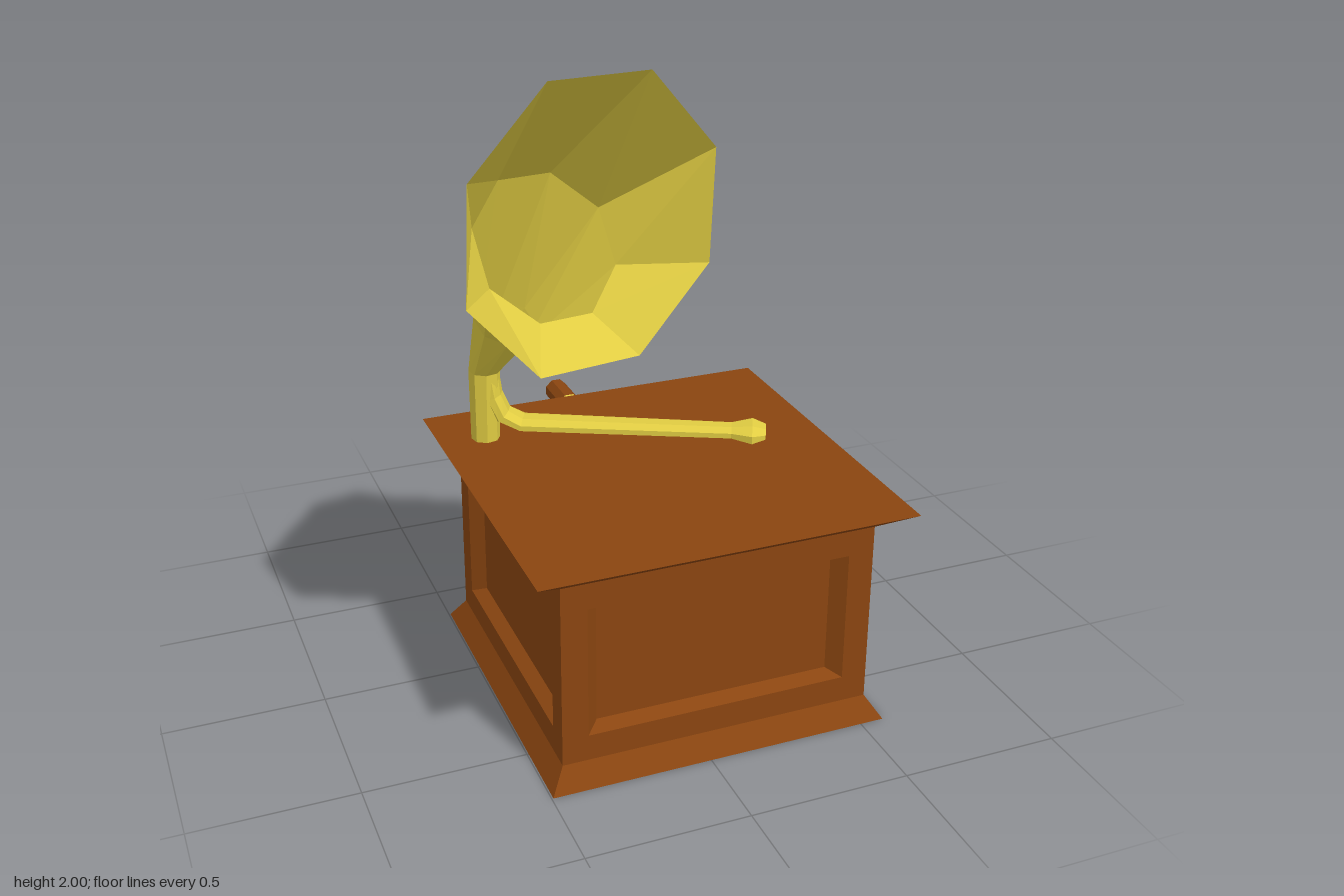
import * as THREE from 'three';

const wood = new THREE.MeshStandardMaterial({ color: 0x8a4510 });
wood.name = 'brown wood';
const brass = new THREE.MeshStandardMaterial({ color: 0xe0cc42 });
brass.name = 'yellow brass';
// the horn is an open sheet, seen from inside and outside
const hornBrass = brass;
hornBrass.side = THREE.DoubleSide;

const rad = THREE.MathUtils.degToRad;

// Faceted loft through rings placed in the vertical plane of heading `yaw`.
// Station: [distance, height, tilt, half width, half thickness, sideways shift]
function loft(name, material, { origin, yaw, sides = 8, phase = 22.5, capStart, capEnd }, stations) {
  const forward = new THREE.Vector3(Math.sin(rad(yaw)), 0, Math.cos(rad(yaw)));
  const across = new THREE.Vector3(forward.z, 0, -forward.x);
  const up = new THREE.Vector3(0, 1, 0);
  const scale = sides === 4 ? Math.SQRT2 : 1; // half sizes of rectangles
  const centres = [];
  const rings = stations.map(([s, y, tilt, ru, rv = ru, shift = 0]) => {
    const v = up.clone().multiplyScalar(Math.cos(rad(tilt))).addScaledVector(forward, -Math.sin(rad(tilt)));
    const centre = new THREE.Vector3(origin[0], y, origin[1])
      .addScaledVector(forward, s).addScaledVector(across, shift);
    centres.push(centre);
    return Array.from({ length: sides }, (_, k) => {
      const a = rad(phase + (360 * k) / sides);
      return centre.clone()
        .addScaledVector(across, Math.cos(a) * ru * scale)
        .addScaledVector(v, Math.sin(a) * rv * scale);
    });
  });

  const points = [];
  const last = rings.length - 1;
  for (let k = 0; k < sides; k++) {
    const n = (k + 1) % sides;
    for (let i = 0; i < last; i++) {
      const a = rings[i][k], b = rings[i][n], c = rings[i + 1][n], d = rings[i + 1][k];
      points.push(a, b, c, a, c, d);
    }
    if (capStart) points.push(centres[0], rings[0][n], rings[0][k]);
    if (capEnd) points.push(centres[last], rings[last][k], rings[last][n]);
  }
  const geometry = new THREE.BufferGeometry().setFromPoints(points);
  geometry.computeVertexNormals();
  const mesh = new THREE.Mesh(geometry, material);
  mesh.name = name;
  return mesh;
}

export function createModel() {
  const model = new THREE.Group();
  model.name = 'gramophone';

  // Cabinet: flared plinth, four recessed panels, flared lid
  const cabinet = new THREE.Group();
  cabinet.name = 'cabinet';
  const centre = [0.04, 0.19];
  const box = { origin: centre, yaw: 0, sides: 4, phase: 45 };
  cabinet.add(loft('plinth', wood, { ...box, capStart: true }, [
    [0, 0, 90, 0.535],
    [0, 0.07, 90, 0.49],
  ]));
  cabinet.add(loft('lid', wood, { ...box, capEnd: true }, [
    [0, 0.655, 90, 0.49],
    [0, 0.72, 90, 0.585],
  ]));
  ['front', 'left', 'back', 'right'].forEach((side, i) => {
    cabinet.add(loft(side + 'Panel', wood, { ...box, yaw: i * 90, capEnd: true }, [
      [0.49, 0.3625, 0, 0.49, 0.2925],
      [0.49, 0.363, 0, 0.41, 0.21],
      [0.45, 0.365, 0, 0.37, 0.19],
    ]));
  });
  model.add(cabinet);

  // Horn with its upright neck
  const stem = [-0.393, -0.19];
  model.add(loft('horn', hornBrass, { origin: stem, yaw: 15.3, phase: 64.8 }, [
    [0, 0.72, 90, 0.046],
    [0.005, 0.955, 88, 0.05],
    [0.11, 1.145, 62, 0.098, 0.098, 0.014],
    [0.305, 1.435, 33, 0.235, 0.235, 0.037],
    [0.592, 1.58, 0, 0.447, 0.447, 0.012],
  ]));

  // Flat tone arm bending out of the neck, ending in a widened head
  model.add(loft('toneArm', brass, { origin: stem, yaw: 63.8, capEnd: true }, [
    [0.012, 0.96, -90, 0.042, 0.035],
    [0.028, 0.87, -75, 0.045, 0.03],
    [0.06, 0.805, -45, 0.052, 0.028],
    [0.12, 0.778, -8, 0.056, 0.022],
    [0.78, 0.775, 0, 0.047, 0.021],
    [0.845, 0.775, 0, 0.077, 0.032],
    [0.887, 0.775, 0, 0.048, 0.018],
  ]));

  // Crank at the back
  const crank = new THREE.Group();
  crank.name = 'crank';
  const back = { origin: [0.04, 0], yaw: 180 };
  crank.add(loft('crankRod', brass, { ...back, capStart: true }, [
    [0.26, 0.345, 0, 0.026],
    [0.48, 0.345, 22.5, 0.026],
    [0.505, 0.37, 67.5, 0.026],
    [0.505, 0.555, 67.5, 0.026],
    [0.53, 0.582, 22.5, 0.026],
    [0.6, 0.582, 0, 0.026],
    [0.618, 0.582, 0, 0.04],
  ]));
  crank.add(loft('crankHandle', wood, back, [
    [0.618, 0.582, 0, 0.04],
    [0.76, 0.582, 0, 0.04],
  ]));
  crank.add(loft('crankTip', brass, { ...back, capEnd: true }, [
    [0.76, 0.582, 0, 0.04],
    [0.78, 0.582, 0, 0.028],
  ]));
  model.add(crank);

  return model;
}
